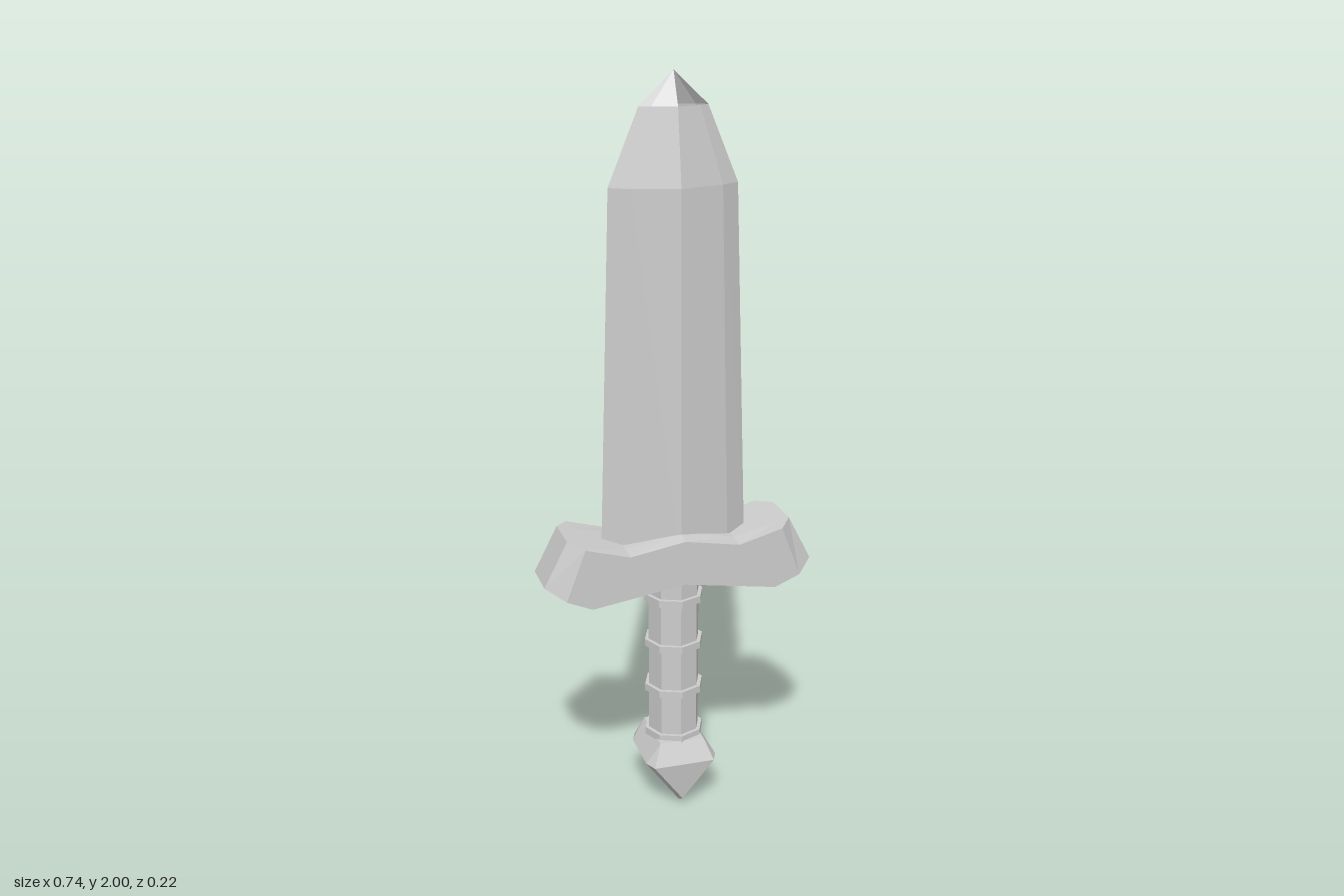
import * as THREE from 'three';
import { ConvexGeometry } from 'three/addons/geometries/ConvexGeometry.js';

const steel = new THREE.MeshStandardMaterial({ color: 0xcccccc, flatShading: true, side: THREE.DoubleSide });
steel.name = 'grey steel';

// Triangle list to flat-shaded geometry
function fromTriangles(tris) {
  const g = new THREE.BufferGeometry();
  g.setAttribute('position', new THREE.Float32BufferAttribute(tris.flat(2), 3));
  g.computeVertexNormals();
  return g;
}

// Skin closed rings of points; skip(level, side) leaves a face open
function loft(rings, skip = () => false) {
  const tris = [];
  for (let i = 0; i < rings.length - 1; i++) {
    const a = rings[i], b = rings[i + 1], n = a.length;
    for (let j = 0; j < n; j++) {
      if (skip(i, j)) continue;
      const k = (j + 1) % n;
      tris.push([a[j], b[k], a[k]], [a[j], b[j], b[k]]);
    }
  }
  return tris;
}

export function createModel() {
  const model = new THREE.Group();
  model.name = 'sword';
  const add = (name, geometry, y = 0) => {
    const mesh = new THREE.Mesh(geometry, steel);
    mesh.name = name;
    mesh.position.y = y;
    model.add(mesh);
  };

  // Blade: eight-sided section narrowing to a point, [y, half width, half depth]
  const section = [[1, 0], [0.7, 0.5], [0, 1], [-0.7, 0.5], [-1, 0], [-0.7, -0.5], [0, -1], [0.7, -0.5]];
  const levels = [[0.74, 0.201, 0.073], [1.72, 0.17, 0.067], [1.915, 0.09, 0.038], [2, 0, 0]];
  const bladeRings = levels.map(([y, w, d]) => section.map(([x, z]) => [x * w, y, z * d]));
  // Two opposite quarters of the tip are open
  const open = (i, j) => i === 2 && (j < 2 || j === 4 || j === 5);
  add('blade', fromTriangles(loft(bladeRings, open)));

  // Guard: stations along x, [top x, top y, bottom x, bottom y, half depth, edge drop]
  const half = [
    [0.307, 0.82, 0.37, 0.697, 0.06, 0],
    [0.27, 0.811, 0.322, 0.672, 0.11, 0],
    [0.15, 0.782, 0.253, 0.643, 0.11, 0.004],
  ];
  const stations = [
    ...half.map(([a, b, c, ...rest]) => [-a, b, -c, ...rest]),
    [0, 0.812, 0, 0.682, 0.11, 0.008],
    ...half.slice().reverse(),
  ];
  const guardRings = stations.map(([tx, ty, bx, by, d, drop]) => [
    [tx, ty - drop, d], [tx, ty, 0.06], [tx, ty, -0.06], [tx, ty - drop, -d],
    [bx, by, -d], [bx, by, d],
  ]);
  const guardTris = loft(guardRings);
  const cap = (r, flip) => {
    for (const [a, b, c] of [[0, 3, 4], [0, 4, 5]]) guardTris.push(flip ? [r[a], r[c], r[b]] : [r[a], r[b], r[c]]);
  };
  cap(guardRings[0], false);
  cap(guardRings[guardRings.length - 1], true);
  // Loft winding faces outward along +x
  add('guard', fromTriangles(guardTris));

  // Octagonal grip with four raised bands
  add('grip', new THREE.CylinderGeometry(0.071, 0.071, 0.52, 8), 0.44);
  for (const y of [0.205, 0.34, 0.475, 0.61]) {
    add('gripBand', new THREE.CylinderGeometry(0.082, 0.082, 0.02, 8), y);
  }

  // Pommel: faceted wedge with its ridge along z
  const points = [];
  for (const sz of [-1, 1]) {
    for (const sx of [-1, 1]) {
      points.push(
        new THREE.Vector3(sx * 0.062, 0.2, sz * 0.08),
        new THREE.Vector3(sx * 0.1, 0.14, sz * 0.07),
        new THREE.Vector3(sx * 0.085, 0.14, sz * 0.105),
      );
    }
    points.push(new THREE.Vector3(0, 0.022, sz * 0.086), new THREE.Vector3(0, 0, sz * 0.05));
  }
  add('pommel', new ConvexGeometry(points));

  return model;
}
